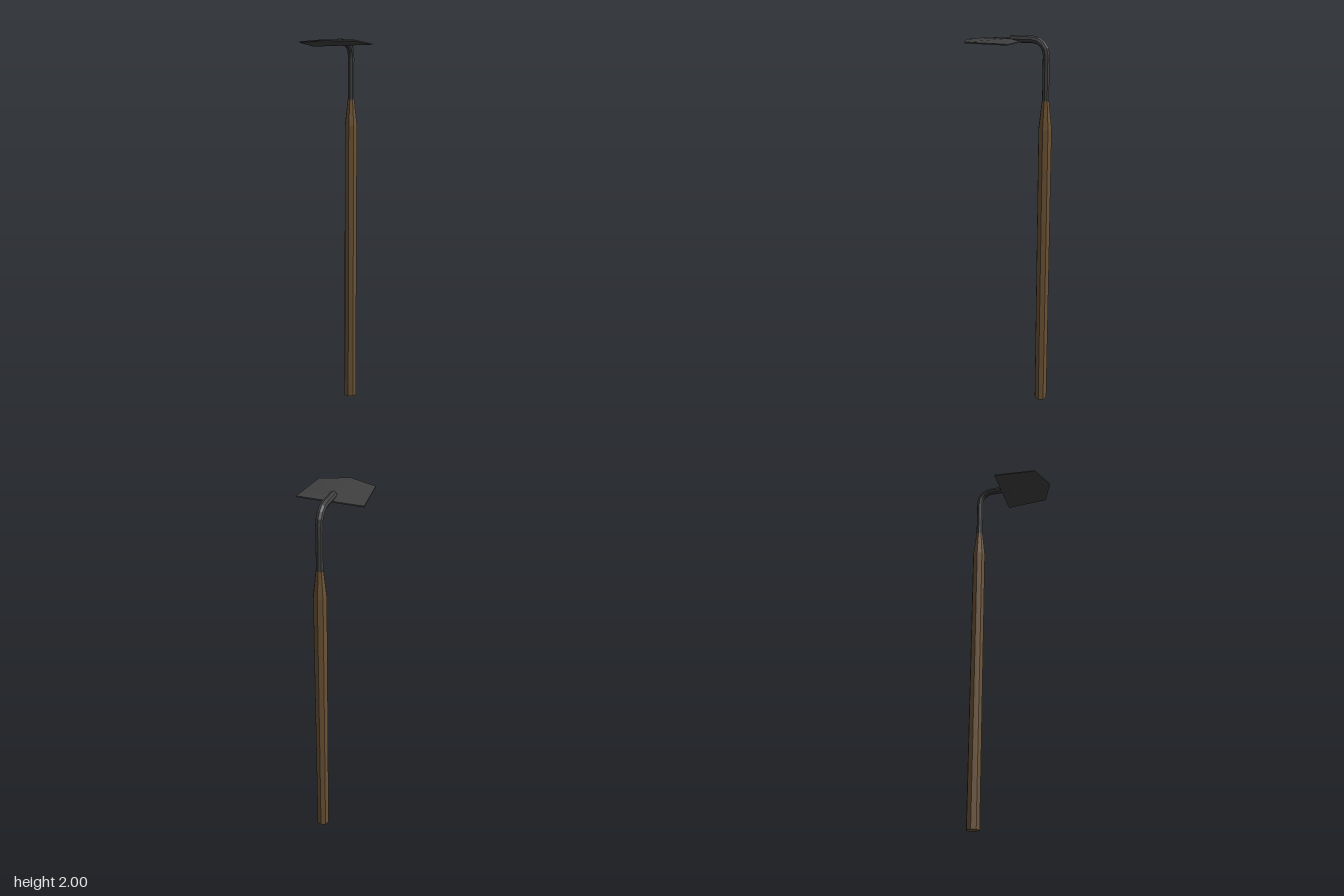
import * as THREE from 'three';

const SIDES = 8;
const POLE_Z = -0.197;

// Closed, flat-shaded solid lofted through rings, with a tip point at each end
function loft(rings, startTip, endTip) {
  const pos = [];
  const tri = (a, b, c) => pos.push(...a, ...b, ...c);
  const n = rings[0].length;
  const last = rings[rings.length - 1];
  for (let j = 0; j < n; j++) {
    const k = (j + 1) % n;
    for (let i = 0; i < rings.length - 1; i++) {
      const [p, q] = [rings[i], rings[i + 1]];
      tri(p[j], p[k], q[k]);
      tri(p[j], q[k], q[j]);
    }
    tri(startTip, rings[0][k], rings[0][j]);
    tri(endTip, last[j], last[k]);
  }
  const g = new THREE.BufferGeometry();
  g.setAttribute('position', new THREE.Float32BufferAttribute(pos, 3));
  g.computeVertexNormals();
  return g;
}

export function createModel() {
  const wood = new THREE.MeshStandardMaterial({ color: 0x6b5235, flatShading: true });
  const metal = new THREE.MeshStandardMaterial({ color: 0x404040, flatShading: true });
  wood.name = 'brown wood';
  metal.name = 'dark metal';

  const group = new THREE.Group();
  const add = (name, geometry, material) => {
    const mesh = new THREE.Mesh(geometry, material);
    mesh.name = name;
    group.add(mesh);
  };

  // Wooden pole with a tapered top
  const profile = [[0, 0], [0.035, 0], [0.035, 1.55], [0.019, 1.69], [0, 1.69]];
  const pole = new THREE.LatheGeometry(profile.map(([r, y]) => new THREE.Vector2(r, y)), SIDES);
  pole.translate(0, 0, POLE_Z);
  add('handle', pole, wood);

  // Bent rod: path of [y, z, angle], where angle turns from upright to forward
  const R = 0.018, bend = 0.07, bendY = 1.912;
  const path = [[1.68, POLE_Z, 0]];
  for (let i = 0; i <= 4; i++) {
    const a = (i / 4) * Math.PI / 2;
    path.push([bendY + bend * Math.sin(a), POLE_Z + bend * (1 - Math.cos(a)), a]);
  }
  path.push([1.982, -0.013, Math.PI / 2]);
  const rings = path.map(([y, z, a]) => Array.from({ length: SIDES }, (_, j) => {
    const t = (j / SIDES) * Math.PI * 2;
    const s = R * Math.cos(t);
    return [R * Math.sin(t), y - s * Math.sin(a), z + s * Math.cos(a)];
  }));
  add('neck', loft(rings, [0, 1.68, POLE_Z], [0, 1.978, -0.003]), metal);

  // Thin blade, rising slightly toward the point where the rod joins
  const outline = [[-0.163, -0.063], [-0.143, 0.171], [0, 0.229], [0.143, 0.171], [0.163, -0.063]];
  const layer = (y) => outline.map(([x, z]) => [x, y, z]);
  add('blade', loft([layer(1.965), layer(1.971)], [0, 1.965, 0], [0, 1.983, -0.013]), metal);

  return group;
}
